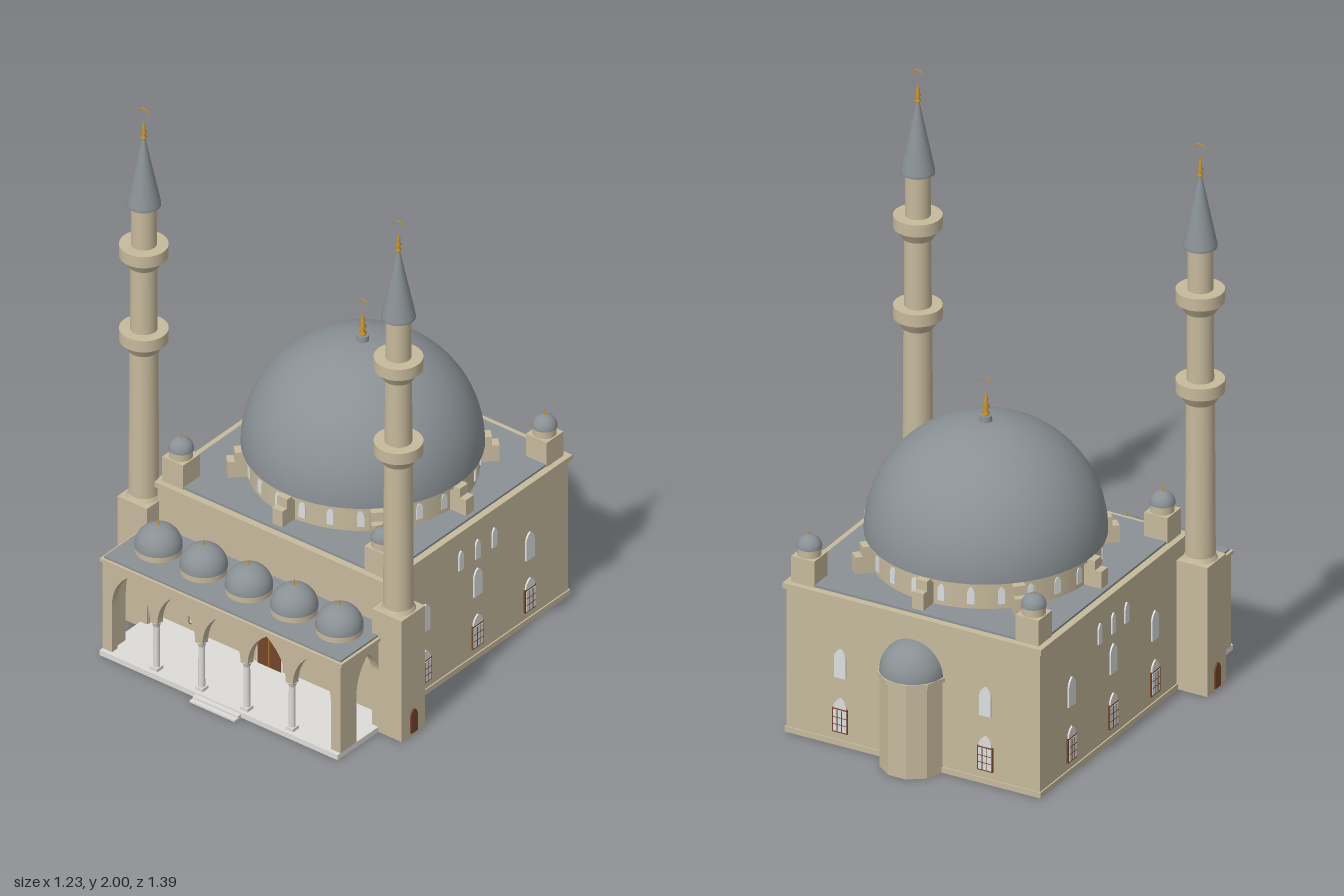
import * as THREE from 'three';

const mat = (name, color) => {
  const m = new THREE.MeshStandardMaterial({ color });
  m.name = name;
  return m;
};

export function createModel() {
  const root = new THREE.Group();
  root.name = 'domedBuilding';
  const stone = mat('sandstone', 0xc6b99c);
  const lead = mat('leadGrey', 0x8a9195);
  const marble = mat('paleMarble', 0xdedcd8);
  const wood = mat('brownWood', 0x75452a);
  const gold = mat('gold', 0xc8952e);
  const glass = mat('paleGlass', 0xdde0e0);

  const add = (parent, name, geo, material, x = 0, y = 0, z = 0, ry = 0) => {
    const m = new THREE.Mesh(geo, material);
    m.name = name;
    m.position.set(x, y, z);
    m.rotation.y = ry;
    parent.add(m);
    return m;
  };
  const group = (parent, name, x, y, z, ry = 0) => {
    const g = new THREE.Group();
    g.name = name;
    g.position.set(x, y, z);
    g.rotation.y = ry;
    parent.add(g);
    return g;
  };
  // box given by its centre in x and z and its bottom and top
  const box = (parent, name, material, w, y0, y1, d, x = 0, z = 0, ry = 0) =>
    add(parent, name, new THREE.BoxGeometry(w, y1 - y0, d), material, x, (y0 + y1) / 2, z, ry);
  const tube = (parent, name, material, rTop, rBottom, y0, y1, x = 0, z = 0, n = 32) =>
    add(parent, name, new THREE.CylinderGeometry(rTop, rBottom, y1 - y0, n), material, x, (y0 + y1) / 2, z);
  const dome = (parent, name, r, x, y, z, n = 32) =>
    add(parent, name, new THREE.SphereGeometry(r, n, n / 2, 0, Math.PI * 2, 0, Math.PI / 2), lead, x, y, z);
  const extrude = (shape, depth) =>
    new THREE.ExtrudeGeometry(shape, { depth, bevelEnabled: false, curveSegments: 8 });

  // pointed arch traced from its left springing to its right one
  const traceArch = (s, c, w, spring, apex) => {
    const k = spring + (apex - spring) * 0.6;
    s.lineTo(c - w, spring);
    s.quadraticCurveTo(c - w, k, c, apex);
    s.quadraticCurveTo(c + w, k, c + w, spring);
  };
  const archPanel = (parent, name, material, x, w, y0, spring, apex, z = 0, depth = 0.006) => {
    const s = new THREE.Shape();
    s.moveTo(-w, y0);
    traceArch(s, 0, w, spring, apex);
    s.lineTo(w, y0);
    return add(parent, name, extrude(s, depth), material, x, 0, z);
  };

  // turned finial with an arched crescent above it
  const finial = (parent, x, y, z, h, crescent) => {
    const profile = [[0.1, 0], [0.14, 0.08], [0.05, 0.2], [0.13, 0.34], [0.05, 0.48], [0.09, 0.6], [0.035, 0.7], [0, 1]]
      .map(([r, t]) => new THREE.Vector2(r * h, t * h));
    add(parent, 'finial', new THREE.LatheGeometry(profile, 12), gold, x, y, z);
    if (crescent) {
      const c = add(parent, 'crescent', new THREE.TorusGeometry(0.022, 0.002, 6, 16, Math.PI * 0.8), gold, x, y + h + 0.018, z);
      c.rotation.z = Math.PI * 0.1;
    }
  };

  // prayer hall
  const hall = group(root, 'hall', 0, 0, -0.1);
  box(hall, 'plinth', stone, 0.97, 0, 0.02, 0.97);
  box(hall, 'hallWalls', stone, 0.96, 0.02, 0.53, 0.96);
  box(hall, 'cornice', stone, 0.98, 0.53, 0.55, 0.98);
  box(hall, 'roof', lead, 0.93, 0.55, 0.558, 0.93);

  // drum with windows and stepped buttresses
  tube(hall, 'drum', stone, 0.385, 0.385, 0.55, 0.648, 0, 0, 64);
  tube(hall, 'drumRim', stone, 0.398, 0.398, 0.644, 0.662, 0, 0, 64);
  for (let i = 0; i < 24; i++) {
    const a = ((i + 0.5) / 24) * Math.PI * 2;
    const bay = group(hall, 'drumBay', Math.sin(a) * 0.382, 0, Math.cos(a) * 0.382, a);
    archPanel(bay, 'drumWindow', glass, 0, 0.012, 0.575, 0.615, 0.638);
  }
  for (let i = 0; i < 8; i++) {
    const b = group(hall, 'buttress', 0, 0, 0, (i * Math.PI) / 4);
    box(b, 'buttressUpper', stone, 0.042, 0.55, 0.655, 0.05, 0, 0.4);
    box(b, 'buttressLower', stone, 0.042, 0.55, 0.62, 0.025, 0, 0.4375);
  }
  dome(hall, 'mainDome', 0.402, 0, 0.656, 0, 64);
  tube(hall, 'domeCap', lead, 0.02, 0.022, 1.045, 1.077);
  finial(hall, 0, 1.075, 0, 0.1, true);

  // corner turrets
  for (const x of [-0.425, 0.425]) for (const z of [-0.425, 0.425]) {
    box(hall, 'turretBase', stone, 0.088, 0.55, 0.645, 0.088, x, z);
    tube(hall, 'turretDrum', stone, 0.04, 0.04, 0.645, 0.675, x, z, 16);
    dome(hall, 'turretDome', 0.043, x, 0.673, z, 20);
    finial(hall, x, 0.714, z, 0.024, false);
  }

  // hall windows
  const lowWindow = (wall, x) => {
    archPanel(wall, 'windowArch', marble, x, 0.024, 0.137, 0.14, 0.175);
    box(wall, 'windowFrame', wood, 0.058, 0.048, 0.137, 0.008, x, 0.002);
    box(wall, 'windowPane', glass, 0.05, 0.053, 0.132, 0.01, x, 0.003);
    for (const t of [-0.009, 0.009])
      box(wall, 'windowBar', wood, 0.002, 0.053, 0.132, 0.003, x + t, 0.008);
    for (const y of [0.078, 0.104])
      box(wall, 'windowCrossbar', wood, 0.05, y, y + 0.002, 0.003, x, 0.008);
  };
  const walls = [['rightWall', 0.48, 0, Math.PI / 2], ['leftWall', -0.48, 0, -Math.PI / 2], ['backWall', 0, -0.48, Math.PI]];
  for (const [name, x, z, ry] of walls) {
    const wall = group(hall, name, x, 0, z, ry);
    const isBack = name === 'backWall';
    for (const u of isBack ? [-0.275, 0.275] : [-0.275, 0, 0.275]) {
      lowWindow(wall, u);
      archPanel(wall, 'tallWindow', glass, u, 0.022, 0.25, 0.32, 0.357);
    }
    if (!isBack) for (const u of [-0.088, 0, 0.088])
      archPanel(wall, 'highWindow', glass, u, 0.012, 0.395, 0.445, 0.47);
  }

  // entrance wall behind the porch
  const front = group(hall, 'entranceWall', 0, 0, 0.48);
  for (const x of [-0.315, 0.315]) lowWindow(front, x);
  archPanel(front, 'portalSurround', stone, 0, 0.075, 0.02, 0.22, 0.31, 0, 0.008);
  archPanel(front, 'doorFrame', marble, 0, 0.056, 0.02, 0.175, 0.262, 0.005);
  archPanel(front, 'door', wood, 0, 0.048, 0.02, 0.175, 0.25, 0.008);
  box(front, 'doorSeam', gold, 0.003, 0.02, 0.235, 0.003, 0, 0.0145);

  // apse at the back
  const apse = group(root, 'apse', 0, 0, -0.58);
  const apseGeo = (r, h) => {
    const g = new THREE.CylinderGeometry(r, r, h, 10);
    g.rotateY(Math.PI / 2);
    const flat = g.toNonIndexed();
    flat.computeVertexNormals();
    return flat;
  };
  add(apse, 'apseWall', apseGeo(0.112, 0.34), stone, 0, 0.17);
  add(apse, 'apseCornice', apseGeo(0.12, 0.015), stone, 0, 0.343);
  dome(apse, 'apseDome', 0.113, 0, 0.348, 0, 20);

  // porch platform and steps
  const porch = group(root, 'porch', 0, 0, 0);
  box(porch, 'platform', marble, 1, 0, 0.02, 0.28, 0, 0.52);
  box(porch, 'upperStep', marble, 0.19, 0, 0.014, 0.04, 0, 0.658);
  box(porch, 'lowerStep', marble, 0.19, 0, 0.007, 0.06, 0, 0.665);

  // porch arcade
  const bays = [-0.38, -0.19, 0, 0.19, 0.38];
  const arcadeWall = (x0, x1, centres, w, apex) => {
    const s = new THREE.Shape();
    s.moveTo(x0, 0.02);
    s.lineTo(centres[0] - w, 0.02);
    for (const c of centres) traceArch(s, c, w, 0.205, apex);
    s.lineTo(centres[centres.length - 1] + w, 0.02);
    s.lineTo(x1, 0.02);
    s.lineTo(x1, 0.365);
    s.lineTo(x0, 0.365);
    return extrude(s, 0.03);
  };
  add(porch, 'frontArcade', arcadeWall(-0.5, 0.5, bays, 0.08, 0.352), stone, 0, 0, 0.615);
  for (const x of [0.5, -0.47])
    add(porch, 'sideArch', arcadeWall(0.38, 0.64, [0.5], 0.06, 0.335), stone, x, 0, 0, -Math.PI / 2);
  box(porch, 'porchCornice', stone, 1.016, 0.362, 0.374, 0.27, 0, 0.515);
  box(porch, 'porchRoof', lead, 0.995, 0.374, 0.381, 0.255, 0, 0.512);
  for (const x of [-0.285, -0.095, 0.095, 0.285]) {
    box(porch, 'columnBase', marble, 0.032, 0.02, 0.032, 0.032, x, 0.63);
    tube(porch, 'column', marble, 0.011, 0.012, 0.032, 0.19, x, 0.63, 16);
    tube(porch, 'capital', marble, 0.018, 0.011, 0.19, 0.207, x, 0.63, 16);
  }
  for (const x of bays) {
    tube(porch, 'porchDrum', stone, 0.079, 0.079, 0.38, 0.403, x, 0.5);
    dome(porch, 'porchDome', 0.08, x, 0.402, 0.5);
    finial(porch, x, 0.48, 0.5, 0.027, false);
  }

  // twin minarets
  for (const side of [-1, 1]) {
    const m = group(root, 'minaret', side * 0.535, 0, 0.383);
    box(m, 'minaretBase', stone, 0.124, 0, 0.475, 0.124);
    tube(m, 'shaftFoot', stone, 0.051, 0.058, 0.475, 0.49);
    tube(m, 'lowerShaft', stone, 0.048, 0.051, 0.49, 1.06);
    tube(m, 'middleShaft', stone, 0.045, 0.046, 1.06, 1.4);
    tube(m, 'upperShaft', stone, 0.043, 0.043, 1.4, 1.628);
    for (const y of [1.052, 1.384]) {
      // corbelled gallery in widening rings
      for (let i = 0; i < 3; i++)
        tube(m, 'galleryCorbel', stone, 0.06 + i * 0.008, 0.052 + i * 0.008, y + i * 0.013, y + 0.013 + i * 0.013);
      tube(m, 'galleryParapet', stone, 0.082, 0.082, y + 0.038, y + 0.082);
    }
    tube(m, 'spireEave', lead, 0.057, 0.057, 1.622, 1.63);
    tube(m, 'spire', lead, 0.003, 0.057, 1.63, 1.89);
    finial(m, 0, 1.88, 0, 0.078, true);
    // stair door on the outer face
    const outer = group(m, 'outerFace', side * 0.062, 0, 0, (side * Math.PI) / 2);
    archPanel(outer, 'stairDoor', wood, 0, 0.017, 0.01, 0.075, 0.103);
  }
  return root;
}
